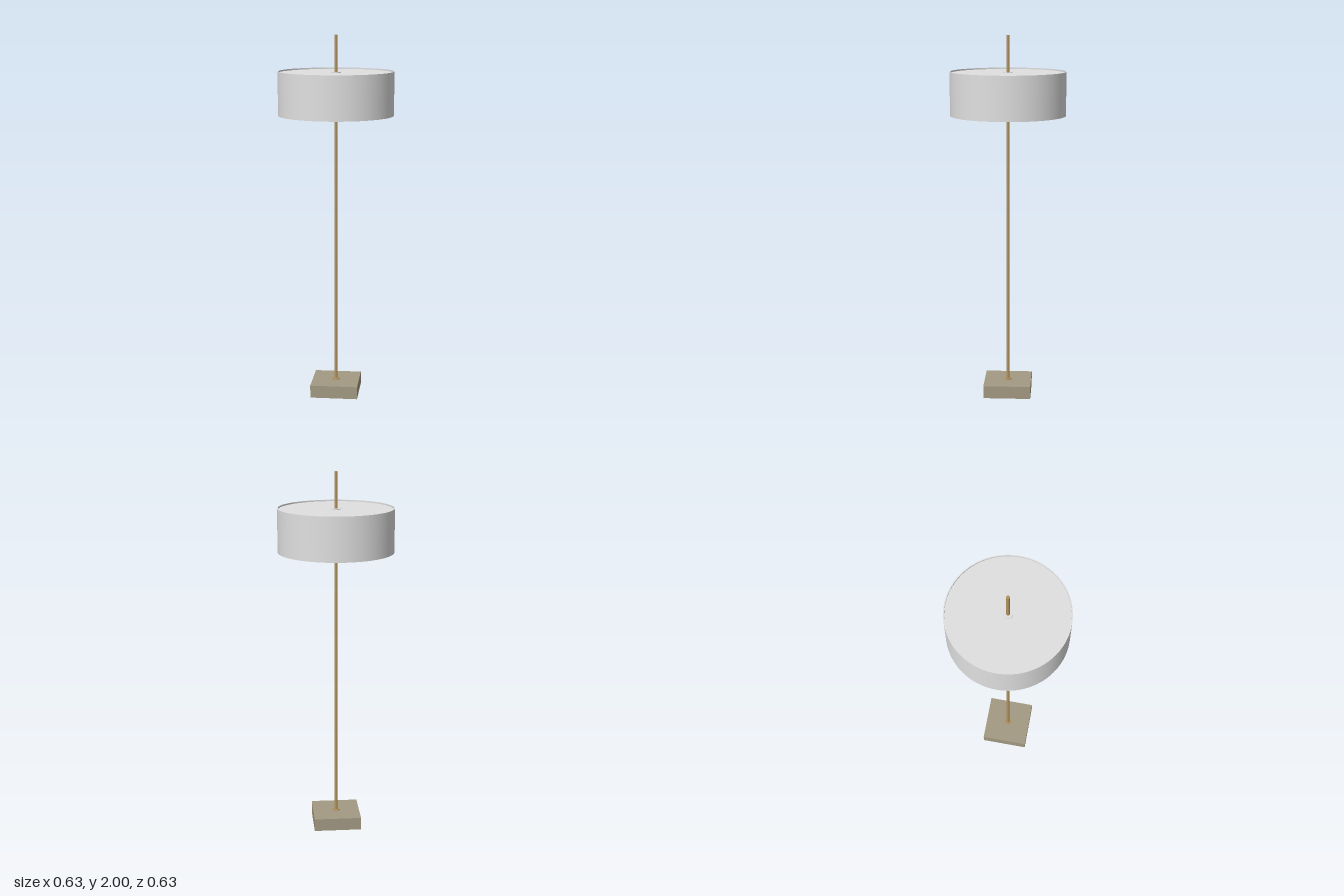
import * as THREE from 'three';

export function createModel() {
  const lamp = new THREE.Group();
  lamp.name = 'floorLamp';

  const material = (name, color) => {
    const m = new THREE.MeshStandardMaterial({ color });
    m.name = name;
    return m;
  };
  const shadeGrey = material('shadeGrey', 0xe0e0e0);
  const brass = material('brass', 0xb3935f);
  const baseStone = material('baseStone', 0xa39a83);
  const darkMetal = material('darkMetal', 0x4a4a4a);

  const add = (name, geometry, mat, x = 0, y = 0, z = 0) => {
    const mesh = new THREE.Mesh(geometry, mat);
    mesh.name = name;
    mesh.position.set(x, y, z);
    lamp.add(mesh);
    return mesh;
  };
  // Upright disc or rod between two heights
  const rod = (name, radius, y0, y1, mat, x = 0, z = 0, sides = 32) =>
    add(name, new THREE.CylinderGeometry(radius, radius, y1 - y0, sides), mat, x, (y0 + y1) / 2, z);

  // Square foot, collar and pole
  add('base', new THREE.BoxGeometry(0.262, 0.07, 0.262), baseStone, 0, 0.035, 0);
  rod('baseCollar', 0.02, 0.07, 0.075, brass);
  rod('pole', 0.009, 0.07, 2, brass);

  // Drum shade: thin walls as separate bands so the rims stay sharp
  const outer = 0.314, inner = 0.309, bottom = 1.57, top = 1.807;
  const band = (name, r0, y0, r1, y1) =>
    add(name, new THREE.LatheGeometry([new THREE.Vector2(r0, y0), new THREE.Vector2(r1, y1)], 96), shadeGrey);
  band('shadeOuterWall', outer, bottom, outer, top);
  band('shadeInnerWall', inner, top, inner, bottom);
  band('shadeTopRim', outer, top, inner, top);
  band('shadeBottomRim', inner, bottom, outer, bottom);

  // Recessed top panel with a small hub, and the diffuser below
  rod('topPanel', inner, top - 0.014, top - 0.008, shadeGrey, 0, 0, 96);
  rod('topHub', 0.025, top - 0.008, top - 0.004, shadeGrey);
  const diffuserY = bottom + 0.034;
  rod('diffuser', 0.265, diffuserY, diffuserY + 0.006, shadeGrey, 0, 0, 96);

  // Six thin arms from the diffuser down to the shade wall
  for (let i = 0; i < 6; i++) {
    const a = (i * Math.PI) / 3;
    const at = (r, y) => new THREE.Vector3(Math.cos(a) * r, y, Math.sin(a) * r);
    const path = new THREE.LineCurve3(at(0.263, diffuserY + 0.003), at(0.31, bottom + 0.006));
    add('diffuserArm', new THREE.TubeGeometry(path, 1, 0.0025, 8), shadeGrey);
  }

  // Two screws and a switch knob under the diffuser
  for (const a of [-Math.PI / 3, Math.PI / 3]) {
    rod('diffuserScrew', 0.005, diffuserY - 0.003, diffuserY, darkMetal, Math.cos(a) * 0.06, Math.sin(a) * 0.06, 12);
  }
  rod('switchKnob', 0.011, diffuserY - 0.012, diffuserY, darkMetal, -0.045, -0.012, 16);

  return lamp;
}
